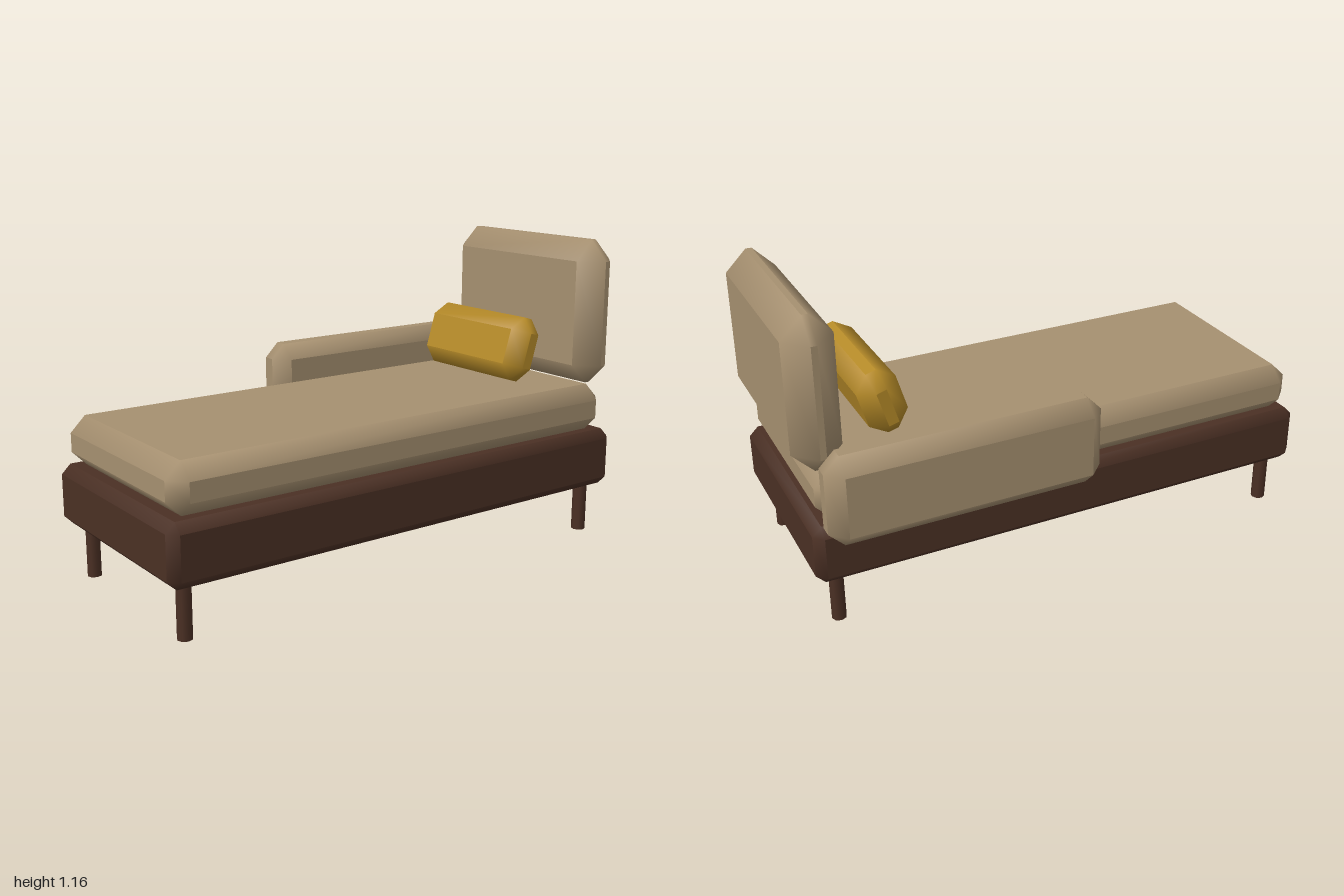
import * as THREE from 'three';

const FABRIC = new THREE.MeshStandardMaterial({ color: 0xa69070 });
const WOOD = new THREE.MeshStandardMaterial({ color: 0x4b3024 });
const MUSTARD = new THREE.MeshStandardMaterial({ color: 0xb58a28 });

// Box with a single chamfer on all edges: flat faces, softly shaded chamfers
function chamferBox(w, h, d, c) {
  const half = [w / 2, h / 2, d / 2];
  const positions = [], normals = [];
  // Corner point of the flat face on the given axis
  const point = (axis, s) =>
    new THREE.Vector3(...half.map((v, i) => s[i] * (i === axis ? v : v - c)));
  const normal = (axis, s, blend) =>
    new THREE.Vector3(...s.map((v, i) => (i === axis ? v : v * blend))).normalize();

  const addPolygon = (corners, blend) => {
    const pts = corners.map(([axis, s]) => point(axis, s));
    const nrm = corners.map(([axis, s]) => normal(axis, s, blend));
    const facing = pts[1].clone().sub(pts[0]).cross(pts[2].clone().sub(pts[0]));
    if (facing.dot(pts[0]) < 0) { pts.reverse(); nrm.reverse(); }
    for (let i = 1; i < pts.length - 1; i++) {
      for (const k of [0, i, i + 1]) {
        positions.push(...pts[k].toArray());
        normals.push(...nrm[k].toArray());
      }
    }
  };

  const SOFT = 0.35;
  const signs = (axis, s, b, sb, e, se) => {
    const r = [0, 0, 0];
    r[axis] = s; r[b] = sb; r[e] = se;
    return r;
  };
  for (let a = 0; a < 3; a++) {
    const b = (a + 1) % 3, e = (a + 2) % 3;
    for (const s of [-1, 1]) {
      // Flat face
      addPolygon([[-1, -1], [1, -1], [1, 1], [-1, 1]]
        .map(([p, q]) => [a, signs(a, s, b, p, e, q)]), 0);
      // Chamfer between the faces on axes a and b
      for (const t of [-1, 1]) {
        const lo = signs(a, s, b, t, e, -1), hi = signs(a, s, b, t, e, 1);
        addPolygon([[a, lo], [a, hi], [b, hi], [b, lo]], SOFT);
      }
    }
  }
  // Corner triangles
  for (const x of [-1, 1]) for (const y of [-1, 1]) for (const z of [-1, 1]) {
    addPolygon([0, 1, 2].map(axis => [axis, [x, y, z]]), SOFT);
  }

  const g = new THREE.BufferGeometry();
  g.setAttribute('position', new THREE.Float32BufferAttribute(positions, 3));
  g.setAttribute('normal', new THREE.Float32BufferAttribute(normals, 3));
  return g;
}

export function createModel() {
  const model = new THREE.Group();
  model.name = 'chaiseLounge';

  const add = (name, geometry, material, x, y, z) => {
    const mesh = new THREE.Mesh(geometry, material);
    mesh.name = name;
    mesh.position.set(x, y, z);
    model.add(mesh);
    return mesh;
  };

  const cx = 0.0635; // centre line of the bed

  // Wooden base and mattress
  add('base', chamferBox(0.844, 0.225, 1.97, 0.034), WOOD, cx, 0.307, 0.015);
  add('mattress', chamferBox(0.81, 0.184, 1.915, 0.057), FABRIC, cx, 0.508, 0.018);

  // Upright cushions
  add('backrest', chamferBox(0.81, 0.562, 0.178, 0.078), FABRIC, cx, 0.88, -0.911);
  add('armrest', chamferBox(0.158, 0.338, 1.01, 0.056), FABRIC, -0.41, 0.566, -0.44);

  // Bolster pillow leaning back
  const pillow = add('pillow', chamferBox(0.563, 0.248, 0.151, 0.056), MUSTARD, cx, 0.745, -0.64);
  pillow.rotation.x = -0.29;

  // Legs
  const legGeometry = new THREE.CylinderGeometry(0.027, 0.027, 0.2, 8);
  for (const [end, z] of [['front', 0.916], ['back', -0.886]]) {
    for (const [side, sx] of [['Left', 1], ['Right', -1]]) {
      add(`${end}${side}Leg`, legGeometry, WOOD, cx + sx * 0.338, 0.1, z);
    }
  }
  return model;
}
